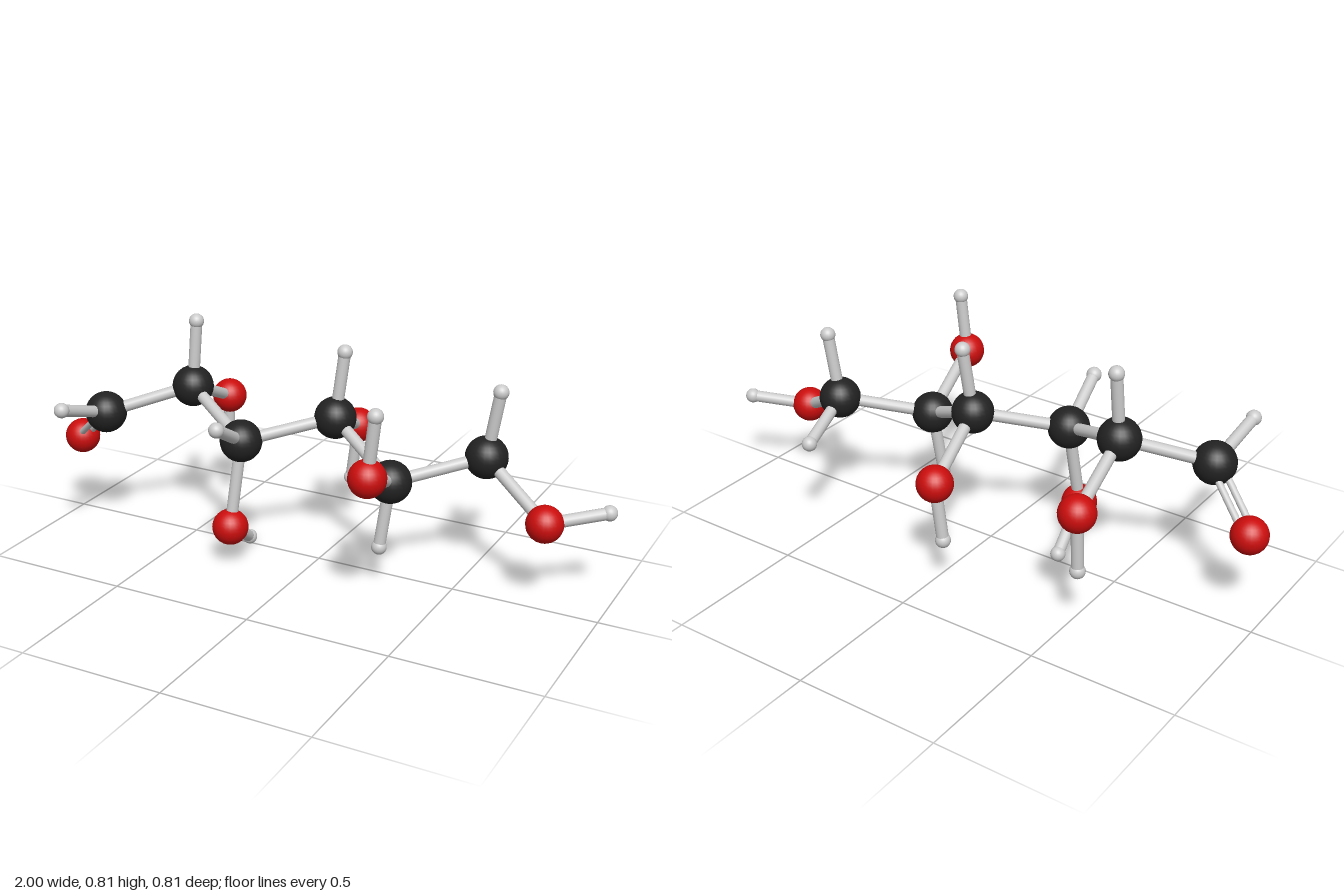
import * as THREE from 'three';

// Ball-and-stick chain: six carbons, six oxygens, twelve hydrogens
const KINDS = {
  C: { name: 'carbonBall', radius: 0.072, color: 0x222222 },
  O: { name: 'oxygenBall', radius: 0.062, color: 0xcc0d0d },
  H: { name: 'hydrogenBall', radius: 0.026, color: 0xcccccc },
};

// name: position, and the ball it is joined to
const ATOMS = {
  C1: { at: [-0.757, 0.466, 0.155] },
  C2: { at: [-0.505, 0.55, -0.018], to: 'C1' },
  C3: { at: [-0.227, 0.445, 0.13], to: 'C2' },
  C4: { at: [0.029, 0.508, -0.064], to: 'C3' },
  C5: { at: [0.297, 0.375, 0.067], to: 'C4' },
  C6: { at: [0.553, 0.44, -0.127], to: 'C5' },
  O1: { at: [-0.94, 0.311, 0.056], to: 'C1', double: true },
  O2: { at: [-0.527, 0.422, -0.298], to: 'C2' },
  O3: { at: [-0.249, 0.142, 0.176], to: 'C3' },
  O4: { at: [-0.019, 0.38, -0.342], to: 'C4' },
  O5: { at: [0.345, 0.499, 0.342], to: 'C5' },
  O6: { at: [0.8, 0.297, -0.016], to: 'C6' },
  H1: { at: [-0.778, 0.539, 0.376], to: 'C1' },
  H2: { at: [-0.495, 0.781, -0.037], to: 'C2' },
  H3: { at: [-0.2, 0.555, 0.329], to: 'C3' },
  H4: { at: [0.053, 0.737, -0.086], to: 'C4' },
  H5: { at: [0.27, 0.144, 0.088], to: 'C5' },
  H6: { at: [0.591, 0.67, -0.131], to: 'C6' },
  H7: { at: [0.511, 0.363, -0.344], to: 'C6' },
  H8: { at: [-0.532, 0.214, -0.293], to: 'O2' },
  H9: { at: [-0.275, 0.028, 0.003], to: 'O3' },
  H10: { at: [-0.045, 0.175, -0.338], to: 'O4' },
  H11: { at: [0.369, 0.705, 0.34], to: 'O5' },
  H12: { at: [0.976, 0.327, -0.128], to: 'O6' },
};

const UP = new THREE.Vector3(0, 1, 0);
const grey = new THREE.MeshStandardMaterial({ color: 0xcccccc });

// Cylinder between two points
function stick(a, b, radius) {
  const dir = b.clone().sub(a);
  const mesh = new THREE.Mesh(new THREE.CylinderGeometry(radius, radius, dir.length(), 16), grey);
  mesh.position.copy(a).add(b).multiplyScalar(0.5);
  mesh.quaternion.setFromUnitVectors(UP, dir.normalize());
  mesh.name = 'bond';
  return mesh;
}

export function createModel() {
  const model = new THREE.Group();
  model.name = 'moleculeModel';
  const balls = new THREE.Group();
  balls.name = 'balls';
  const bonds = new THREE.Group();
  bonds.name = 'bonds';
  model.add(balls, bonds);

  // One shared geometry and material per kind of ball
  const shared = {};
  for (const [key, k] of Object.entries(KINDS)) {
    shared[key] = {
      geometry: new THREE.SphereGeometry(k.radius, 24, 16),
      material: new THREE.MeshStandardMaterial({ color: k.color }),
    };
  }

  for (const [id, atom] of Object.entries(ATOMS)) {
    const kind = id[0];
    const p = new THREE.Vector3(...atom.at);
    const ball = new THREE.Mesh(shared[kind].geometry, shared[kind].material);
    ball.name = KINDS[kind].name;
    ball.position.copy(p);
    balls.add(ball);
    if (!atom.to) continue;

    const q = new THREE.Vector3(...ATOMS[atom.to].at);
    if (atom.double) {
      // Two thin sticks side by side
      const side = q.clone().sub(p).cross(UP).setLength(0.019);
      for (const s of [-1, 1]) {
        const shift = side.clone().multiplyScalar(s);
        const thin = stick(q.clone().add(shift), p.clone().add(shift), 0.0115);
        thin.name = 'doubleBond';
        bonds.add(thin);
      }
    } else {
      bonds.add(stick(q, p, 0.0205));
    }
  }
  return model;
}
